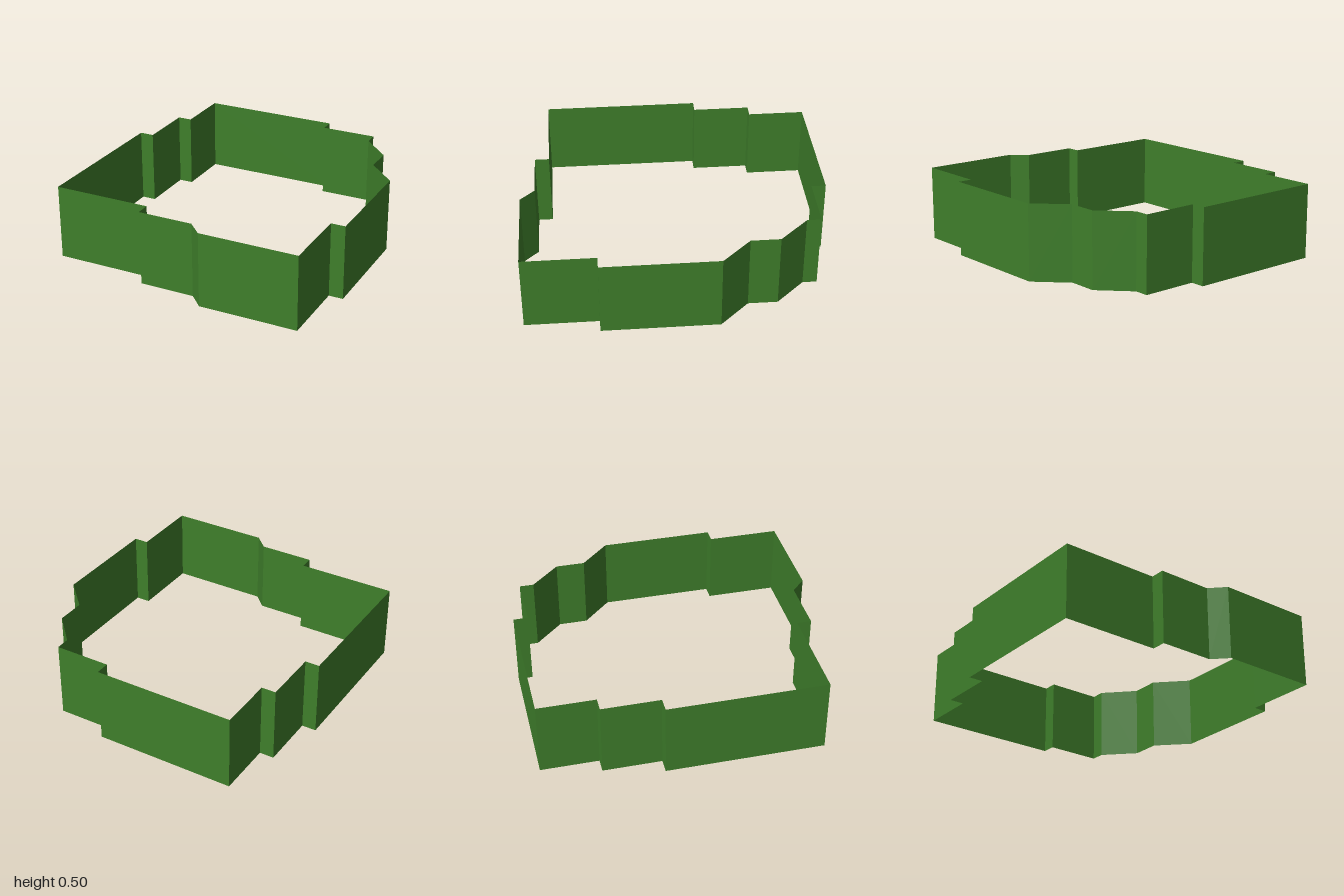
import * as THREE from 'three';

const HEIGHT = 0.5;

// Plan outline [x, z], running from the front-left edge round to the back and home
const OUTLINE = [
  // front, stepping forward toward +x
  [-0.94, 0.81], [-0.28, 0.81], [-0.28, 0.905], [0.09, 0.905], [0.185, 1], [0.845, 1],
  // +x side, with two diagonal cuts at the rear
  [0.845, 0.523], [0.94, 0.523], [0.94, -0.235], [0.75, -0.427], [0.75, -0.62], [0.565, -0.811],
  // back
  [0.565, -0.905], [0.19, -0.905], [0.19, -1], [-0.75, -1],
  // -x side, stepping outward toward the front
  [-0.75, -0.62], [-0.845, -0.62], [-0.845, -0.235], [-0.94, -0.235],
];

// Open upright band following a closed outline, one flat panel per edge
function wallGeometry(outline, height) {
  const positions = [];
  outline.forEach(([ax, az], i) => {
    const [bx, bz] = outline[(i + 1) % outline.length];
    positions.push(
      ax, 0, az, bx, 0, bz, bx, height, bz,
      ax, 0, az, bx, height, bz, ax, height, az,
    );
  });
  const geometry = new THREE.BufferGeometry();
  geometry.setAttribute('position', new THREE.Float32BufferAttribute(positions, 3));
  geometry.computeVertexNormals();
  return geometry;
}

export function createModel() {
  const group = new THREE.Group();
  group.name = 'steppedEnclosure';

  // Thin perimeter wall, open above and below
  const material = new THREE.MeshStandardMaterial({ color: 0x3f7f2b, side: THREE.DoubleSide });
  const wall = new THREE.Mesh(wallGeometry(OUTLINE, HEIGHT), material);
  wall.name = 'perimeterWall';
  group.add(wall);

  return group;
}
